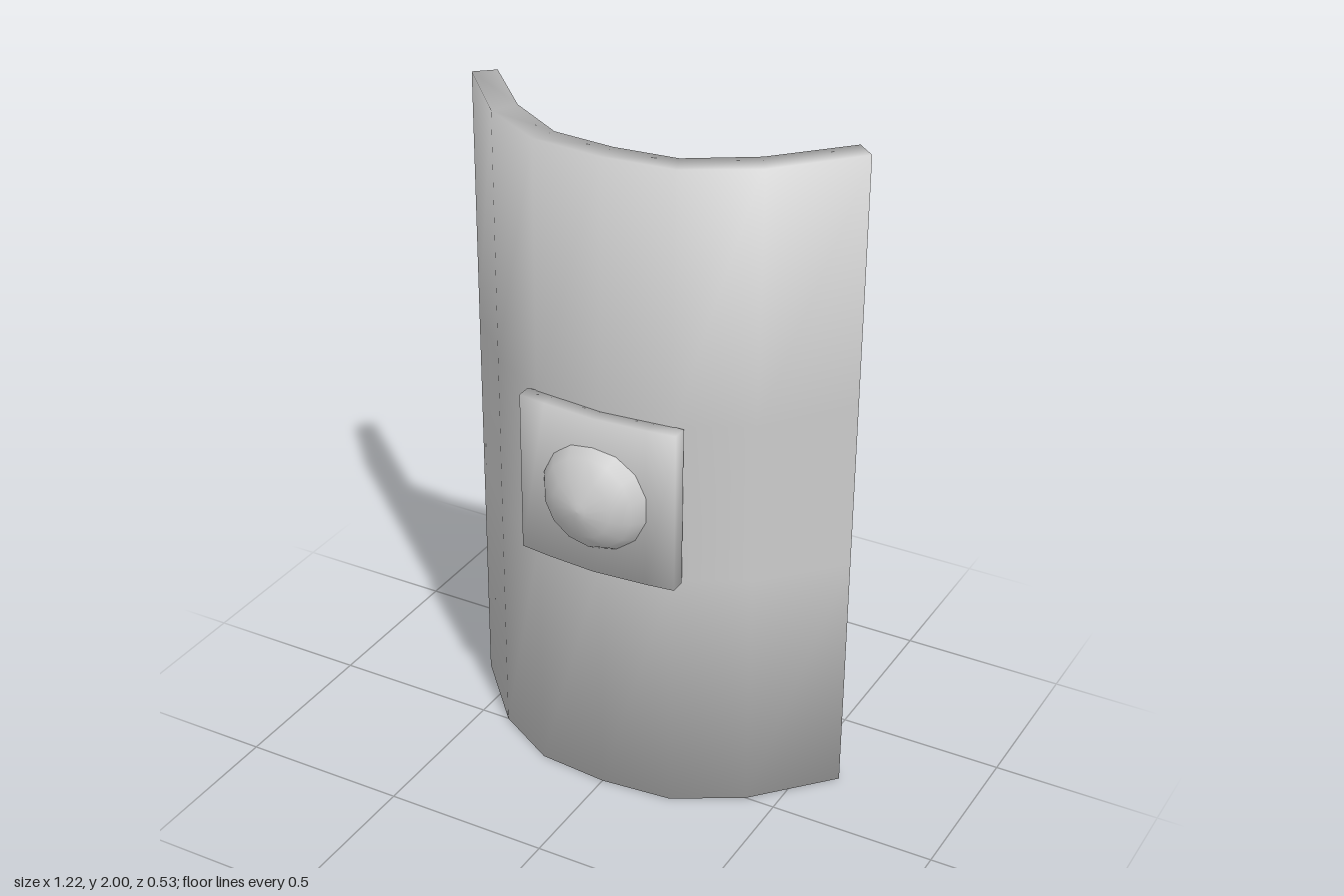
import * as THREE from 'three';

// Mirrors half a profile of [x, z] points (centre first) across x = 0, ordered from -x to +x
const mirror = half => [...half.slice(1).reverse().map(([x, z]) => [-x, z]), ...half];

// Bent slab: front and back profiles carried up through the given heights, softly shaded
function bentSlab(frontHalf, backHalf, heights, lean) {
  const front = mirror(frontHalf), back = mirror(backHalf);
  const ring = [...front, ...back.reverse()];
  const n = ring.length, top = (heights.length - 1) * n;
  const positions = heights.flatMap(y => ring.flatMap(([x, z]) => [x, y, z]));
  const index = [];
  const quad = (a, b, c, d) => index.push(a, b, c, a, c, d);

  // walls
  for (let r = 0; r < heights.length - 1; r++) {
    for (let i = 0; i < n; i++) {
      const j = (i + 1) % n, lo = r * n, hi = lo + n;
      quad(lo + i, lo + j, hi + j, hi + i);
    }
  }
  // bottom and top rims
  for (let i = 0; i < front.length - 1; i++) {
    const b = n - 1 - i;
    quad(top + i, top + i + 1, top + b - 1, top + b);
    quad(b, b - 1, i + 1, i);
  }

  const geometry = new THREE.BufferGeometry();
  geometry.setAttribute('position', new THREE.Float32BufferAttribute(positions, 3));
  geometry.setIndex(index);
  geometry.computeVertexNormals();
  // lean the rim normals outward for a rounded look
  const normal = geometry.attributes.normal, v = new THREE.Vector3();
  for (let i = 0; i < n; i++) {
    for (const [k, s] of [[i, -lean], [top + i, lean]]) {
      v.fromBufferAttribute(normal, k);
      v.y = s;
      v.normalize();
      normal.setXYZ(k, v.x, v.y, v.z);
    }
  }
  return geometry;
}

export function createModel() {
  const group = new THREE.Group();
  const material = new THREE.MeshStandardMaterial({ color: 0xcccccc });
  const add = (name, geometry) => {
    const mesh = new THREE.Mesh(geometry, material);
    mesh.name = name;
    group.add(mesh);
    return mesh;
  };

  // tall curved shield board
  add('shieldBoard', bentSlab(
    [[0, 0.133], [0.215, 0.113], [0.41, 0], [0.61, -0.22]],
    [[0, 0.06], [0.187, 0.043], [0.37, -0.072], [0.555, -0.268]],
    [0, 0.76, 1.25, 2], 0.7));

  // square plate behind the boss
  add('bossPlate', bentSlab(
    [[0, 0.178], [0.16, 0.166], [0.245, 0.155]],
    [[0, 0.12], [0.16, 0.108], [0.245, 0.11]],
    [0.76, 1.25], 0.6));

  // domed boss
  const profile = [[0.168, 0.15], [0.165, 0.17], [0.14, 0.208], [0.09, 0.244], [0.025, 0.265], [0, 0.267]];
  const dome = add('boss', new THREE.LatheGeometry(profile.map(([r, h]) => new THREE.Vector2(r, h)), 14));
  dome.rotation.x = Math.PI / 2;
  dome.position.y = 1;

  return group;
}
